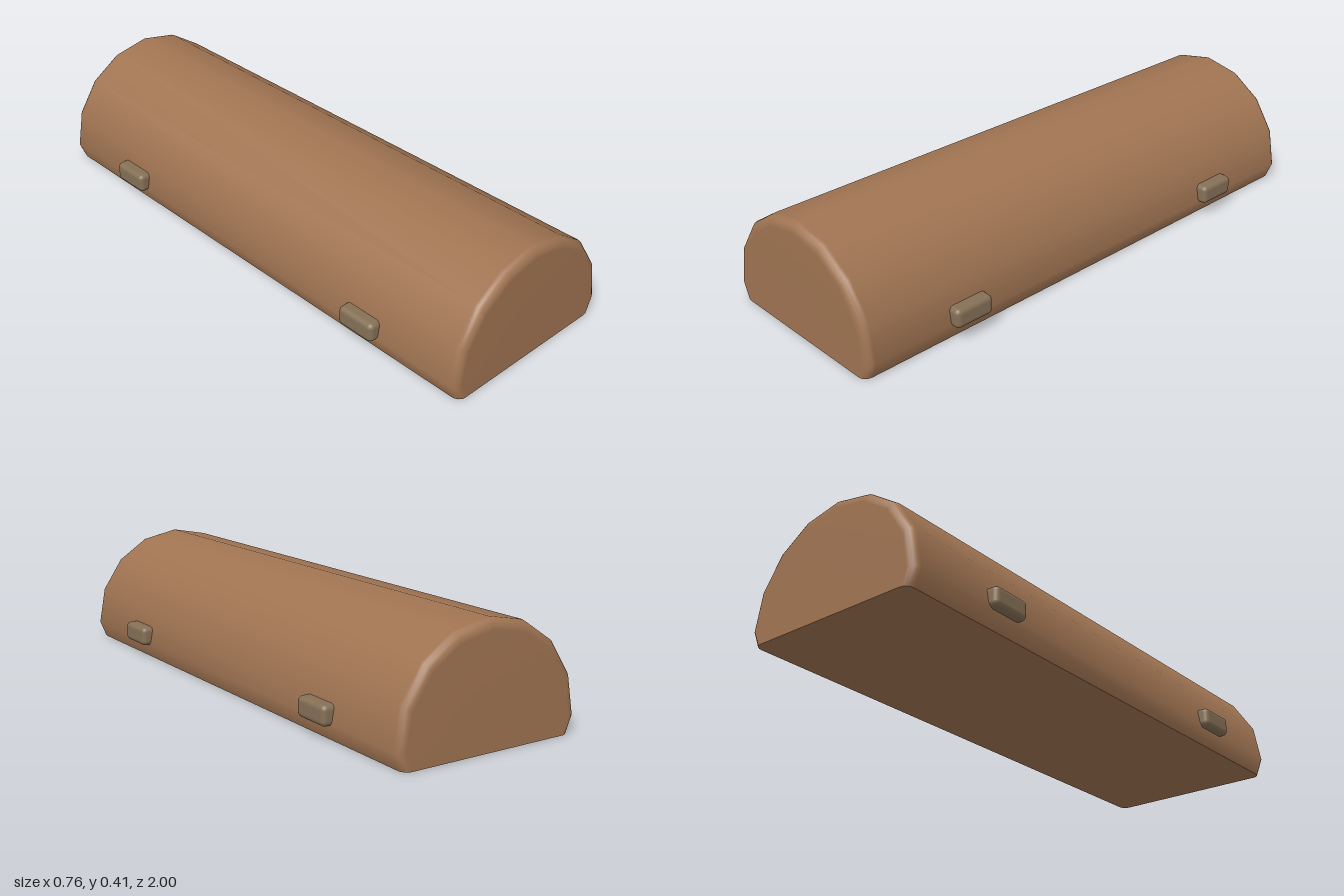
import * as THREE from 'three';
import { RoundedBoxGeometry } from 'three/addons/geometries/RoundedBoxGeometry.js';

// Right half of the arched cross-section, from the bottom corner to the crown
const HALF = [[0.325, 0], [0.35, 0.06], [0.325, 0.195], [0.248, 0.31], [0.135, 0.385]];
const PROFILE = [...HALF, [0, 0.412], ...HALF.map(([x, y]) => [-x, y]).reverse()];
const BEVEL = 0.03;

// Stations along z: a rounded edge at both ends, given as [z, scale]
function stations() {
  const steps = 4, front = [];
  for (let i = 0; i <= steps; i++) {
    const a = (i / steps) * Math.PI / 2;
    front.push([1 - BEVEL * (1 - Math.sin(a)), 1 - (BEVEL / 0.35) * (1 - Math.cos(a))]);
  }
  return [...front.map(([z, s]) => [-z, s]).reverse(), ...front];
}

function bodyGeometry() {
  const rings = stations(), n = PROFILE.length, pos = [], idx = [];
  rings.forEach(([z, s]) => PROFILE.forEach(([x, y]) => pos.push(x * s, y * s, z)));
  // Arched skin
  for (let i = 0; i < rings.length - 1; i++) {
    for (let j = 0; j < n - 1; j++) {
      const a = i * n + j, d = a + n;
      idx.push(a, a + 1, d + 1, a, d + 1, d);
    }
  }
  // End faces, blended into the rounded edges
  const back = pos.length / 3, front = back + 1, last = (rings.length - 1) * n;
  pos.push(0, 0.17, -1, 0, 0.17, 1);
  for (let j = 0; j < n; j++) {
    const k = (j + 1) % n;
    idx.push(back, k, j, front, last + j, last + k);
  }
  // Flat underside with its own vertices for a sharp edge
  const base = pos.length / 3;
  rings.forEach(([z, s]) => pos.push(HALF[0][0] * s, 0, z, -HALF[0][0] * s, 0, z));
  for (let i = 0; i < rings.length - 1; i++) {
    const r = base + i * 2;
    idx.push(r, r + 2, r + 3, r, r + 3, r + 1);
  }
  const geo = new THREE.BufferGeometry();
  geo.setAttribute('position', new THREE.Float32BufferAttribute(pos, 3));
  geo.setIndex(idx);
  geo.computeVertexNormals();
  return geo;
}

export function createModel() {
  const brown = new THREE.MeshStandardMaterial({ color: 0xa07452 });
  brown.name = 'warm brown';
  const taupe = new THREE.MeshStandardMaterial({ color: 0x857056 });
  taupe.name = 'taupe';

  const group = new THREE.Group();
  group.name = 'archedLid';

  const body = new THREE.Mesh(bodyGeometry(), brown);
  body.name = 'body';
  group.add(body);

  // Small rounded lugs, two on each side
  const lugGeo = new RoundedBoxGeometry(0.07, 0.07, 0.15, 3, 0.018);
  for (const side of [-1, 1]) {
    for (const end of [-1, 1]) {
      const lug = new THREE.Mesh(lugGeo, taupe);
      lug.name = (side > 0 ? 'left' : 'right') + (end > 0 ? 'Front' : 'Back') + 'Lug';
      lug.position.set(side * 0.345, 0.09, end * 0.6);
      group.add(lug);
    }
  }
  return group;
}
